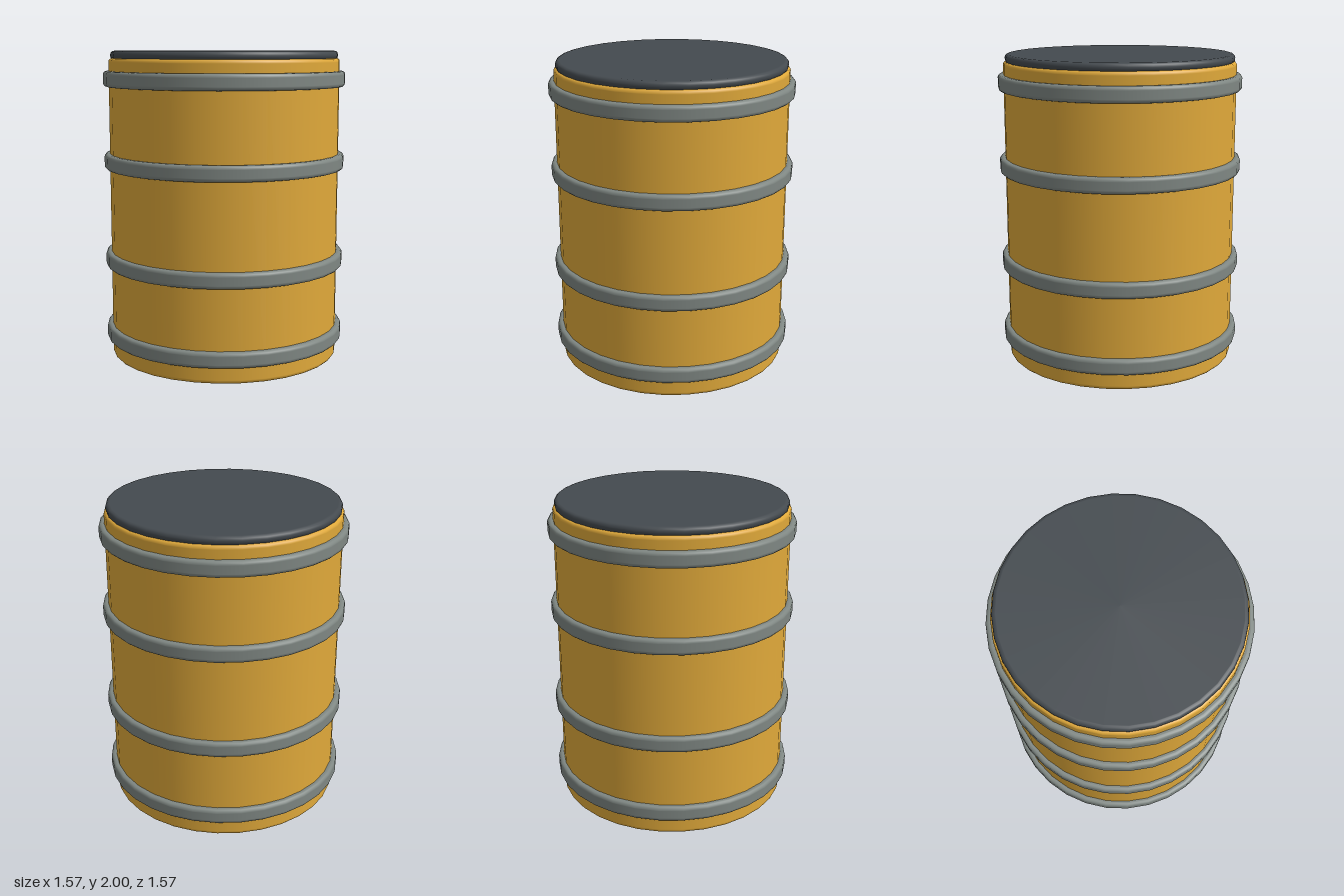
import * as THREE from 'three';

const SIDES = 32;

// Solid disc with rounded rims, standing on y = y0
function roundedDrum(name, material, radius, y0, y1, bevel) {
  const points = [new THREE.Vector2(0, y0), new THREE.Vector2(radius - bevel - 0.004, y0)];
  const steps = 3;
  for (const top of [false, true]) {
    const cy = top ? y1 - bevel : y0 + bevel;
    if (top) points.push(new THREE.Vector2(radius, cy - 0.004));
    for (let i = 0; i <= steps; i++) {
      const a = (i / steps) * Math.PI / 2 + (top ? 0 : -Math.PI / 2);
      points.push(new THREE.Vector2(radius - bevel + Math.cos(a) * bevel, cy + Math.sin(a) * bevel));
    }
    if (!top) points.push(new THREE.Vector2(radius, cy + 0.004));
  }
  points.push(new THREE.Vector2(radius - bevel - 0.004, y1), new THREE.Vector2(0, y1));
  const mesh = new THREE.Mesh(new THREE.LatheGeometry(points, SIDES), material);
  mesh.name = name;
  return mesh;
}

export function createModel() {
  const yellow = new THREE.MeshStandardMaterial({ color: 0xe0a93a });
  yellow.name = 'yellow paint';
  const grey = new THREE.MeshStandardMaterial({ color: 0x7f8783 });
  grey.name = 'grey steel';
  const dark = new THREE.MeshStandardMaterial({ color: 0x444a4f });
  dark.name = 'dark lid';

  const group = new THREE.Group();
  group.name = 'barrel';

  // Body and lid
  group.add(roundedDrum('body', yellow, 0.75, 0, 1.953, 0.02));
  group.add(roundedDrum('lid', dark, 0.738, 1.945, 2, 0.022));

  // Hoops around the body
  [0.157, 0.647, 1.29, 1.822].forEach((y, i) => {
    group.add(roundedDrum('hoop' + (i + 1), grey, 0.786, y - 0.05, y + 0.05, 0.02));
  });
  return group;
}
